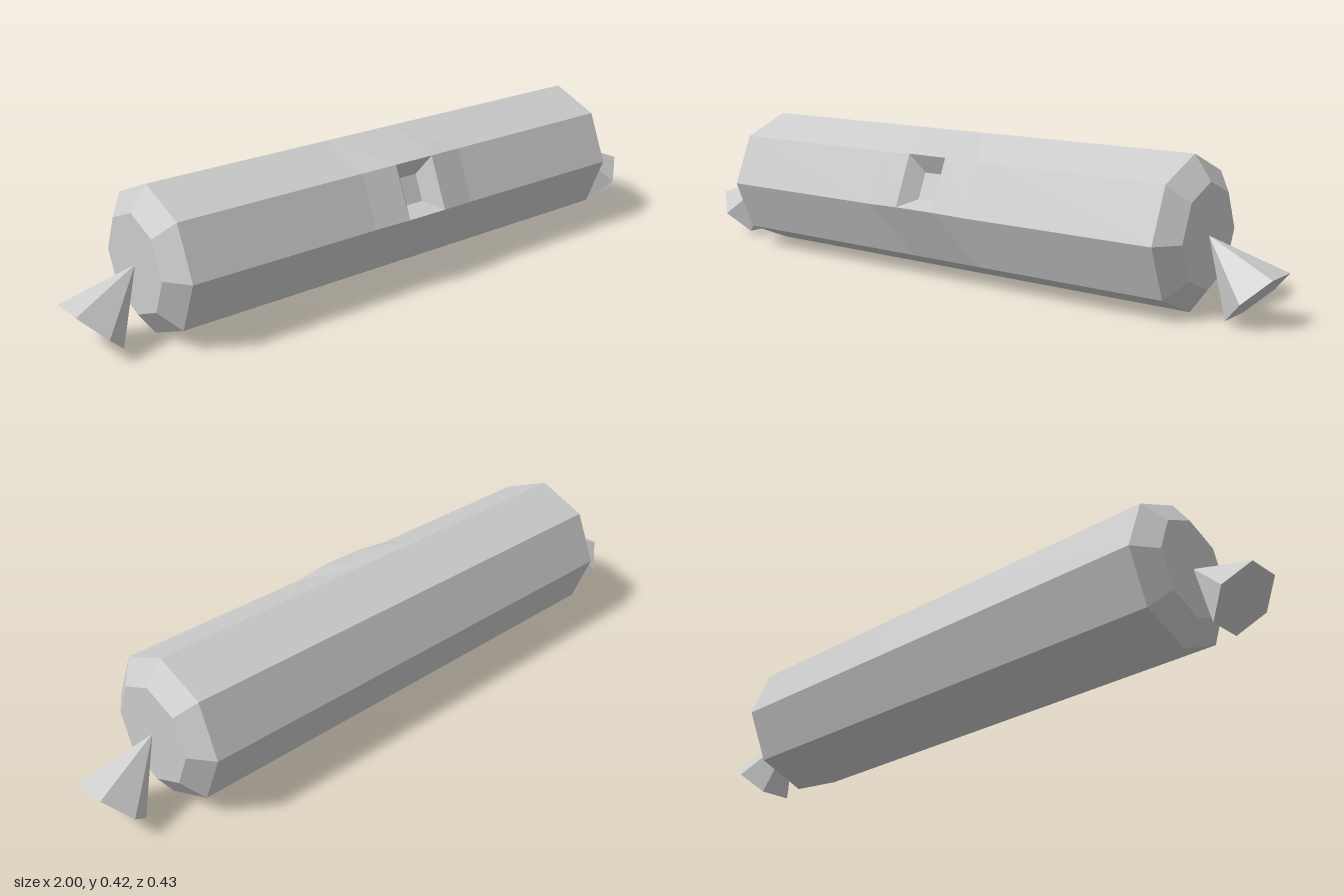
import * as THREE from 'three';

const grey = new THREE.MeshStandardMaterial({ color: 0xcccccc, flatShading: true });
const CY = 0.21, CZ = -0.005, CX = -0.004;

// Collects flat faces (corners counter-clockwise from outside) into one geometry
function facesToGeometry(faces) {
  const pos = [];
  for (const f of faces) {
    for (let i = 1; i < f.length - 1; i++) {
      for (const p of [f[0], f[i], f[i + 1]]) pos.push(p.x, p.y, p.z);
    }
  }
  const g = new THREE.BufferGeometry();
  g.setAttribute('position', new THREE.Float32BufferAttribute(pos, 3));
  g.computeVertexNormals();
  return g;
}

// Octagonal tube with bevelled ends, a raised front panel and a tapered pocket
function bodyGeometry() {
  const tilt = Math.PI / 8;
  const outward = new THREE.Vector3(0, Math.sin(tilt), Math.cos(tilt));
  // [x, radius, how far the front panel is raised]
  const stations = [
    [-0.805, 0.141, 0], [-0.757, 0.208, 0], [-0.178, 0.208, 0], [-0.066, 0.208, 0.0125],
    [0.066, 0.208, 0.0125], [0.178, 0.208, 0], [0.757, 0.208, 0], [0.805, 0.141, 0],
  ];
  const rings = stations.map(([x, r, lift]) => Array.from({ length: 8 }, (_, k) => {
    const a = k * Math.PI / 4;
    const p = new THREE.Vector3(CX + x, CY + r * Math.cos(a), CZ + r * Math.sin(a));
    return k === 1 || k === 2 ? p.addScaledVector(outward, lift) : p;
  }));

  const faces = [];
  for (let i = 0; i < rings.length - 1; i++) {
    for (let k = 0; k < 8; k++) {
      const n = (k + 1) % 8;
      const quad = [rings[i][k], rings[i][n], rings[i + 1][n], rings[i + 1][k]];
      if (i !== 3 || k !== 1) {
        faces.push(quad);
        continue;
      }
      // pocket: walls sloping in to a smaller floor
      const mid = quad.reduce((s, p) => s.add(p), new THREE.Vector3()).divideScalar(4);
      const floor = quad.map((p) => {
        const d = p.clone().sub(mid);
        d.multiply(new THREE.Vector3(0.44, 0.5, 0.5));
        return d.add(mid).addScaledVector(outward, -0.045);
      });
      faces.push(floor);
      quad.forEach((p, j) => {
        const m = (j + 1) % 4;
        faces.push([p, quad[m], floor[m], floor[j]]);
      });
    }
  }
  // flat end caps
  faces.push([...rings[0]].reverse(), rings[rings.length - 1]);
  return facesToGeometry(faces);
}

export function createModel() {
  const model = new THREE.Group();
  model.name = 'capsule';

  const body = new THREE.Mesh(bodyGeometry(), grey);
  body.name = 'body';
  model.add(body);

  // Six-sided cones with their tips on the end caps, flaring out and down
  for (const side of [1, -1]) {
    const tip = new THREE.Vector3(CX + side * 0.805, CY + 0.002, CZ);
    const base = new THREE.Vector3(side * 0.939, 0.0725, CZ);
    const cone = new THREE.Mesh(new THREE.ConeGeometry(0.1, tip.distanceTo(base), 6), grey);
    cone.name = side > 0 ? 'leftEndCone' : 'rightEndCone';
    cone.position.copy(tip).add(base).multiplyScalar(0.5);
    cone.rotation.z = side * Math.PI / 4;
    model.add(cone);
  }
  return model;
}
